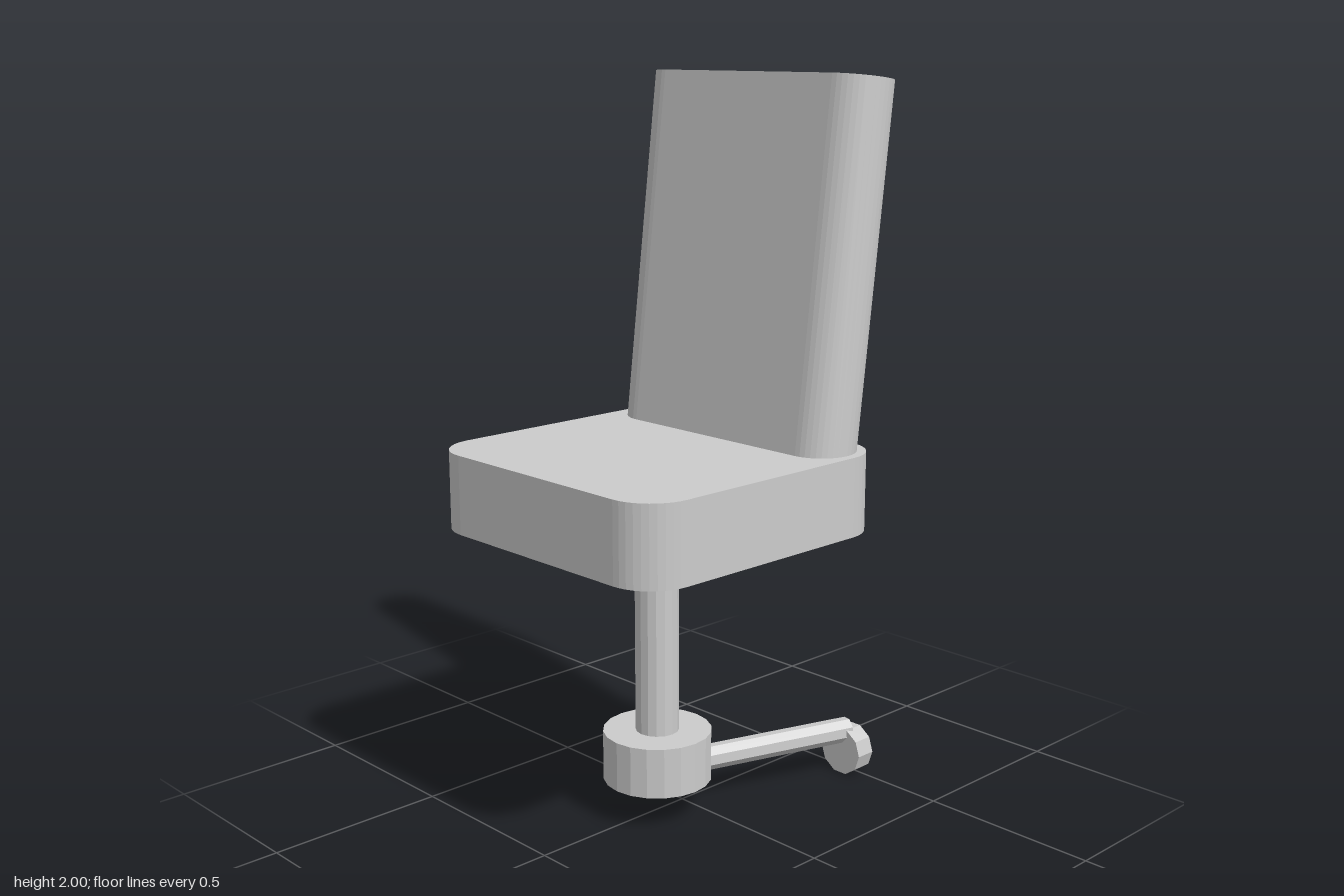
import * as THREE from 'three';

const material = new THREE.MeshStandardMaterial({ color: 0xcccccc, flatShading: true });

function addMesh(parent, name, geometry, x, y, z) {
  const mesh = new THREE.Mesh(geometry, material);
  mesh.name = name;
  mesh.position.set(x, y, z);
  parent.add(mesh);
  return mesh;
}

// Upright slab with rounded vertical corners, base at y = 0
function roundedSlab(width, depth, height, r) {
  const x = width / 2 - r, z = depth / 2 - r;
  const shape = new THREE.Shape();
  [[x, z], [-x, z], [-x, -z], [x, -z]].forEach(([cx, cz], i) =>
    shape.absarc(cx, cz, r, i * Math.PI / 2, (i + 1) * Math.PI / 2, false));
  const geometry = new THREE.ExtrudeGeometry(shape, { depth: height, bevelEnabled: false, curveSegments: 5 });
  return geometry.rotateX(-Math.PI / 2);
}

export function createModel() {
  const chair = new THREE.Group();
  chair.name = 'chair';
  const axisZ = 0.094;

  // Seat cushion and reclined backrest
  addMesh(chair, 'seat', roundedSlab(0.854, 0.852, 0.215, 0.125), 0, 0.815, 0.091);
  const recline = 0.12, sunk = 0.02;
  const backrest = addMesh(chair, 'backrest', roundedSlab(0.804, 0.194, 0.967 + sunk, 0.096),
    0, 1.03 - sunk, -0.21 + sunk * Math.tan(recline));
  backrest.rotation.x = -recline;

  // Column and hub
  addMesh(chair, 'column', new THREE.CylinderGeometry(0.06, 0.06, 0.595, 16), 0, 0.5225, axisZ);
  addMesh(chair, 'hub', new THREE.CylinderGeometry(0.15, 0.15, 0.14, 20), 0, 0.17, axisZ);

  // Single leg reaching from the hub centre to the caster
  const start = new THREE.Vector3(0, 0.125, axisZ);
  const end = new THREE.Vector3(0.185, 0.125, -0.49);
  const along = end.clone().sub(start);
  const middle = start.clone().add(end).multiplyScalar(0.5);
  const leg = addMesh(chair, 'leg', new THREE.CylinderGeometry(0.036, 0.036, along.length(), 8),
    middle.x, middle.y, middle.z);
  leg.quaternion.setFromUnitVectors(new THREE.Vector3(0, 1, 0), along.normalize());

  // Caster wheel with its axle along z, a corner pointing to each side
  const wheel = new THREE.CylinderGeometry(0.0715, 0.0715, 0.06, 10)
    .rotateY(Math.PI / 2).rotateX(Math.PI / 2);
  addMesh(chair, 'casterWheel', wheel, 0.187, 0.068, -0.489);

  return chair;
}
